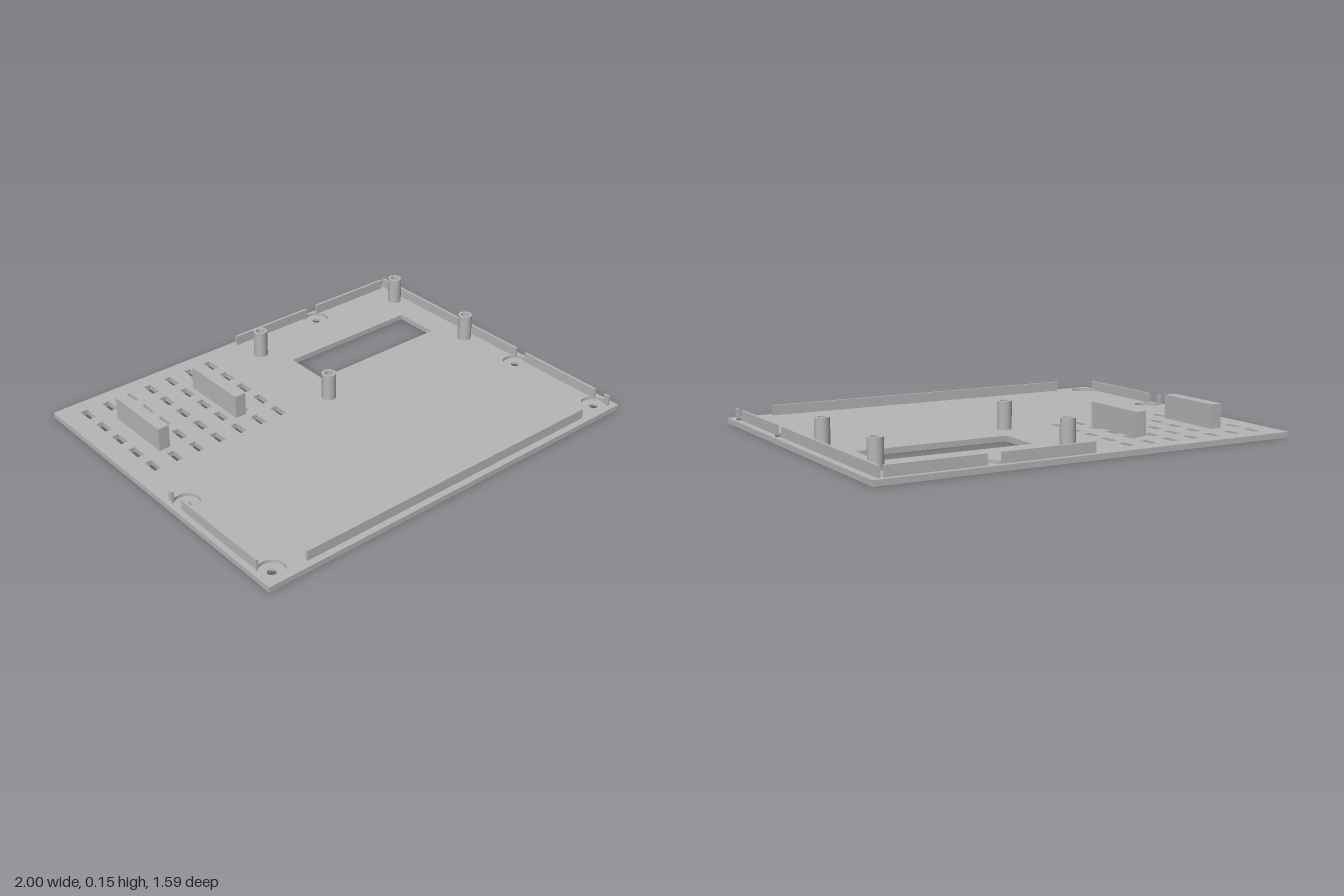
import * as THREE from 'three';

const BASE = 0.025, FLOOR = 0.01, LIP_TOP = 0.072;
const SCREWS = [[-0.925, 0.147], [-0.925, 0.714], [0.925, 0.222], [0.925, 0.714], [0.47, -0.725]];
const POSTS = [[0.037, -0.618], [0.904, -0.618], [0.037, -0.104], [0.904, -0.104]];

// Outlines are drawn in plan (x, z); shape y is -z so that extrusion points up.
function rect(x0, x1, z0, z1, Type = THREE.Path) {
  const p = new Type();
  p.moveTo(x0, -z1);
  p.lineTo(x1, -z1);
  p.lineTo(x1, -z0);
  p.lineTo(x0, -z0);
  p.closePath();
  return p;
}

function circle(x, z, r, Type = THREE.Path) {
  const p = new Type();
  p.absarc(x, -z, r, 0, Math.PI * 2, false);
  return p;
}

function slab(shape, y0, y1) {
  const g = new THREE.ExtrudeGeometry(shape, { depth: y1 - y0, bevelEnabled: false, curveSegments: 32 });
  g.rotateX(-Math.PI / 2);
  g.translate(0, y0, 0);
  return g;
}

export function createModel() {
  const model = new THREE.Group();
  model.name = 'enclosurePanel';
  const grey = new THREE.MeshStandardMaterial({ color: 0xb6b6b6 });
  grey.name = 'grey plastic';
  const add = (name, geometry) => {
    const mesh = new THREE.Mesh(geometry, grey);
    mesh.name = name;
    model.add(mesh);
  };

  // Panel in two layers: small screw holes below, wide recesses above
  const layer = (name, screwRadius, y0, y1) => {
    const shape = rect(-1, 1, -0.795, 0.795, THREE.Shape);
    shape.holes.push(rect(0.118, 0.824, -0.473, -0.254));
    for (const [x, z] of SCREWS) shape.holes.push(circle(x, z, screwRadius));
    for (const [x, z] of POSTS) shape.holes.push(circle(x, z, 0.013));
    // Ventilation slots, left out where the first block stands
    for (let i = 0; i < 7; i++) {
      for (let j = 0; j < 5; j++) {
        if (i === 1 && j > 0 && j < 4) continue;
        const x = -0.888 + i * 0.1123, z = -0.682 + j * 0.131;
        shape.holes.push(rect(x - 0.0165, x + 0.0165, z - 0.038, z + 0.038));
      }
    }
    add(name, slab(shape, y0, y1));
  };
  layer('panelOuterLayer', 0.019, 0, FLOOR);
  layer('panelInnerLayer', 0.058, FLOOR, BASE);

  // Locating lips, interrupted at the screw recesses
  const lips = {
    frontLip: [[-0.79, 0.79, 0.752, 0.764]],
    backLip: [[0, 0.438, -0.772, -0.76], [0.502, 0.942, -0.772, -0.76]],
    leftLip: [[0.957, 0.969, -0.772, 0.193], [0.957, 0.969, 0.251, 0.686], [0.957, 0.969, 0.743, 0.768]],
    rightLip: [[-0.974, -0.962, 0.09, 0.113], [-0.974, -0.962, 0.181, 0.681]],
  };
  for (const [name, parts] of Object.entries(lips)) {
    for (const r of parts) add(name, slab(rect(...r, THREE.Shape), BASE, LIP_TOP));
  }

  // Hollow mounting posts
  for (const [x, z] of POSTS) {
    const ring = circle(x, z, 0.033, THREE.Shape);
    ring.holes.push(circle(x, z, 0.02));
    add('mountingPost', slab(ring, BASE, 0.152));
  }

  // Upright blocks among the slots
  for (const x of [-0.778, -0.369]) {
    add('supportBlock', slab(rect(x - 0.027, x + 0.027, -0.568, -0.231, THREE.Shape), BASE, 0.135));
  }
  return model;
}
